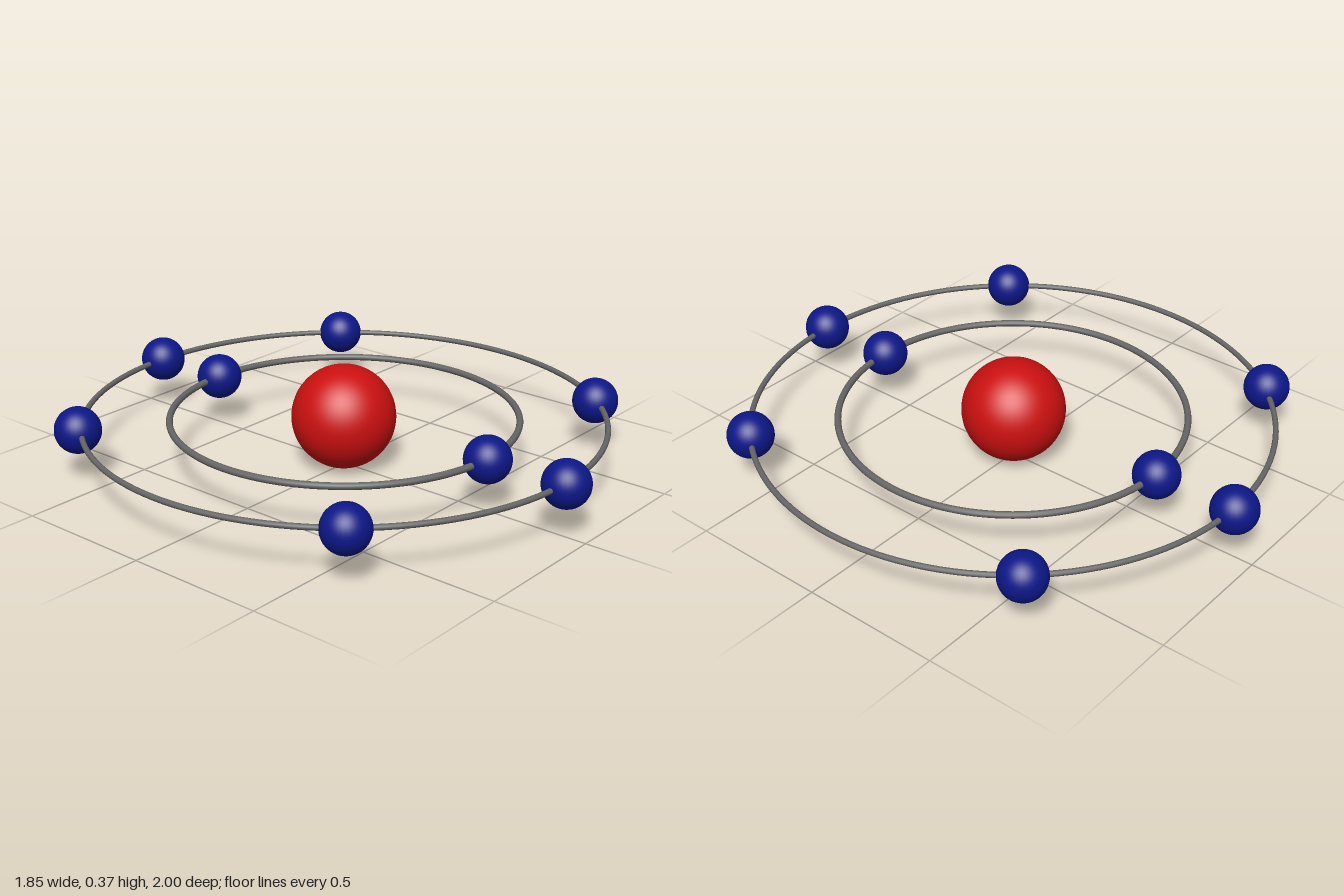
import * as THREE from 'three';

export function createModel() {
  const model = new THREE.Group();
  const red = new THREE.MeshStandardMaterial({ color: 0xcc1010 });
  const blue = new THREE.MeshStandardMaterial({ color: 0x0d1788 });
  const grey = new THREE.MeshStandardMaterial({ color: 0x666666 });
  const midY = 0.188;

  function add(name, geometry, material, x = 0, z = 0) {
    const mesh = new THREE.Mesh(geometry, material);
    mesh.name = name;
    mesh.position.set(x, midY, z);
    model.add(mesh);
    return mesh;
  }

  // Central nucleus, a touch off centre
  add('nucleus', new THREE.SphereGeometry(0.184, 48, 32), red, -0.009, 0.004);

  // Flat circular orbits
  const orbit = (name, radius, tube) => {
    add(name, new THREE.TorusGeometry(radius, tube, 12, 128).rotateX(Math.PI / 2), grey);
  };
  orbit('innerOrbit', 0.612, 0.012);
  orbit('outerOrbit', 0.914, 0.01);

  // Electrons: a front and back pair on each orbit, two side pairs on the outer one
  const ball = new THREE.SphereGeometry(0.082, 32, 24);
  for (const s of [1, -1]) {
    add('innerElectron', ball, blue, 0, s * 0.614);
    add('outerElectron', ball, blue, 0, s * 0.918);
    for (const side of [1, -1]) {
      add('outerElectron', ball, blue, side * 0.694 - 0.004, s * 0.601 - 0.005);
    }
  }
  return model;
}
